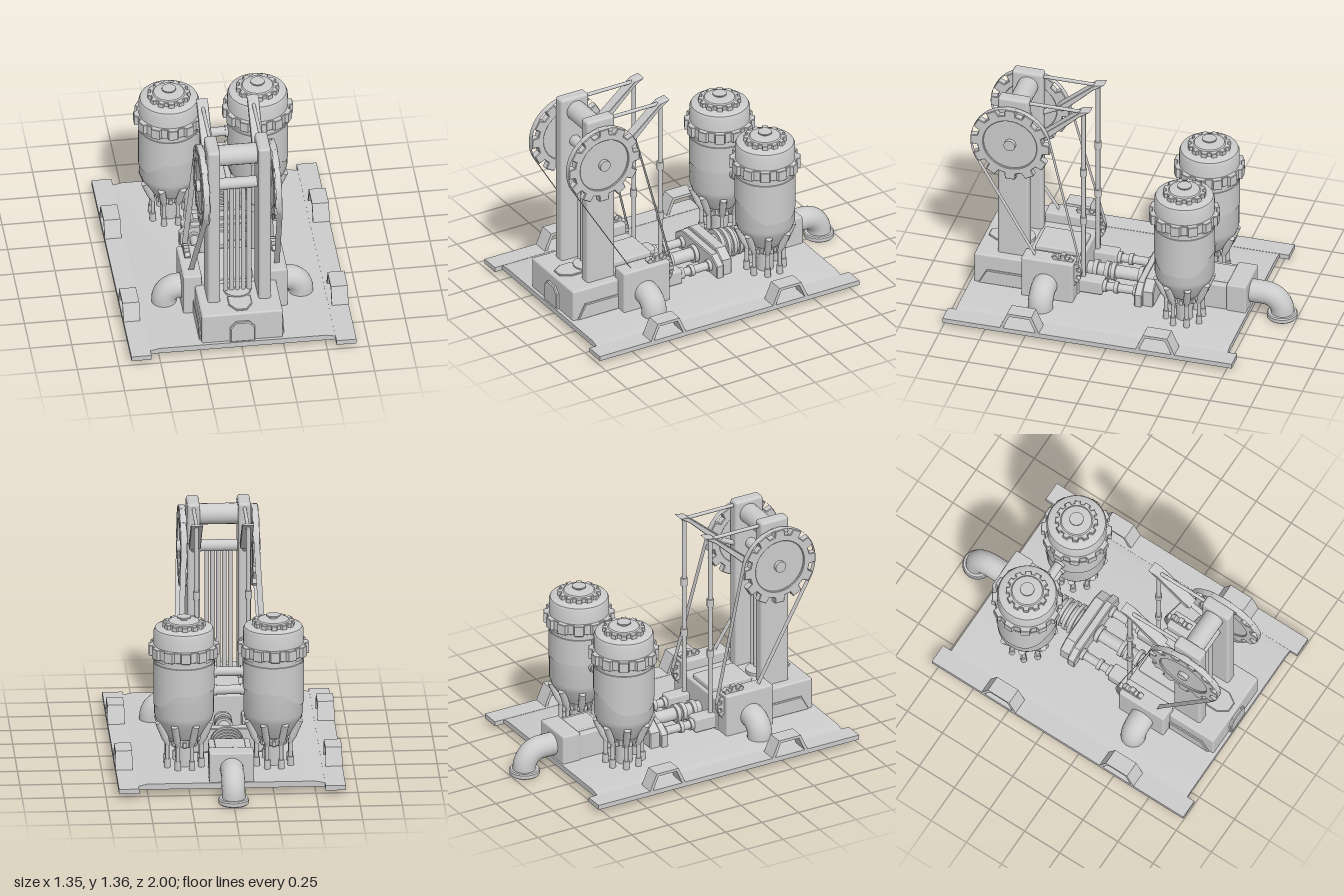
import * as THREE from 'three';
import { toCreasedNormals } from 'three/addons/utils/BufferGeometryUtils.js';
import { RoundedBoxGeometry } from 'three/addons/geometries/RoundedBoxGeometry.js';

const V = (x, y, z) => new THREE.Vector3(x, y, z);

export function createModel() {
  const root = new THREE.Group();
  root.name = 'pumpStation';
  const mat = new THREE.MeshStandardMaterial({ color: 0xcccccc });
  const thin = new THREE.MeshStandardMaterial({ color: 0xcccccc, side: THREE.DoubleSide });

  const add = (name, geo, x = 0, y = 0, z = 0, parent = root, m = mat) => {
    const mesh = new THREE.Mesh(geo, m);
    mesh.name = name;
    mesh.position.set(x, y, z);
    parent.add(mesh);
    return mesh;
  };
  // box given by its limits
  const box = (name, x0, x1, y0, y1, z0, z1, r = 0.012, parent = root) =>
    add(name, new RoundedBoxGeometry(x1 - x0, y1 - y0, z1 - z0, 2, r),
      (x0 + x1) / 2, (y0 + y1) / 2, (z0 + z1) / 2, parent);
  // round bar between two points
  const bar = (name, a, b, r, r2 = r, parent = root, seg = 20) => {
    const mesh = add(name, new THREE.CylinderGeometry(r2, r, a.distanceTo(b), seg), 0, 0, 0, parent);
    mesh.position.copy(a).lerp(b, 0.5);
    mesh.quaternion.setFromUnitVectors(V(0, 1, 0), b.clone().sub(a).normalize());
    return mesh;
  };
  const lathe = (pts, seg = 40) =>
    toCreasedNormals(new THREE.LatheGeometry(pts.map(p => new THREE.Vector2(...p)), seg), 0.6);
  const shapeOf = pts => new THREE.Shape(pts.map(p => new THREE.Vector2(...p)));
  // extrusion centred on its own depth, optionally bevelled
  const extrude = (shape, depth, bevel = 0) => {
    const g = new THREE.ExtrudeGeometry(shape, {
      depth: depth - 2 * bevel, bevelEnabled: bevel > 0, bevelSize: bevel,
      bevelThickness: bevel, bevelOffset: -bevel, bevelSegments: 1, curveSegments: 32 });
    return toCreasedNormals(g.translate(0, 0, bevel - depth / 2), 0.5);
  };
  // profile drawn in (z, y), extruded along x
  const across = (shape, depth, bevel) => extrude(shape, depth, bevel).rotateY(-Math.PI / 2);
  const gearShape = (rRoot, rTip, n, hole = 0) => {
    const pts = [], step = Math.PI * 2 / n;
    for (let i = 0; i < n; i++)
      for (const [f, r] of [[-0.32, rRoot], [-0.24, rTip], [0.24, rTip], [0.32, rRoot], [0.5, rRoot]])
        pts.push([Math.cos((i + f) * step) * r, Math.sin((i + f) * step) * r]);
    const s = shapeOf(pts);
    if (hole) s.holes.push(new THREE.Path().absarc(0, 0, hole, 0, Math.PI * 2, true));
    return s;
  };
  const pipe = (name, pts, r) =>
    add(name, new THREE.TubeGeometry(new THREE.CatmullRomCurve3(pts), 32, r, 24), 0, 0, 0, root, thin);

  // Base plate with side rails
  add('basePlate', extrude(shapeOf([[-0.57, 0.035], [0.57, 0.035], [0.57, 0.055], [0.5, 0.07], [-0.5, 0.07], [-0.57, 0.055]]), 1.68), 0, 0, 0.11);
  for (const s of [-1, 1]) {
    add('rail', extrude(shapeOf([[-0.06, 0.03], [0.06, 0.03], [0.06, 0.06], [-0.06, 0.06]]), 1.79), s * 0.615, 0, 0.105);
    for (const z of [0.525, -0.315])
      add('handle', across(shapeOf([[-0.125, 0.05], [-0.075, 0.165], [0.075, 0.165], [0.125, 0.05],
        [0.105, 0.05], [0.062, 0.147], [-0.062, 0.147], [-0.105, 0.05]]), 0.1), s * 0.625, 0, z);
  }

  // Front plinth and its panels
  box('frontPlinth', -0.243, 0.243, 0.06, 0.265, 0.6, 0.93);
  const panel = shapeOf([[-0.075, 0.07], [0.075, 0.07], [0.075, 0.17], [0.04, 0.21], [-0.04, 0.21], [-0.075, 0.17]]);
  add('frontPanel', extrude(panel, 0.03, 0.006), 0, 0, 0.932);
  add('topPanel', extrude(shapeOf([[-0.07, -0.76], [-0.07, -0.84], [-0.03, -0.9], [0.03, -0.9], [0.07, -0.84], [0.07, -0.76]]), 0.016, 0.004)
    .rotateX(-Math.PI / 2), 0, 0.266, 0);
  box('centreHousing', -0.21, 0.21, 0.06, 0.27, 0.29, 0.62);
  box('centreHousingLid', -0.11, 0.11, 0.26, 0.3, 0.31, 0.59, 0.008);

  // Mast between the columns
  bar('upperCrossTube', V(-0.13, 1.272, 0.7), V(0.13, 1.272, 0.7), 0.063);
  bar('gearAxle', V(-0.25, 1.07, 0.71), V(0.25, 1.07, 0.71), 0.035);
  bar('mastPipeSocket', V(0, 0.26, 0.7), V(0, 0.282, 0.7), 0.078);
  for (let i = -2; i <= 2; i++)
    bar('mastPipe', V(i * 0.035, 0.27, 0.7), V(i * 0.035, 1.06, 0.7), 0.014);

  for (const s of [-1, 1]) {
    box('column', s * 0.152 - 0.038, s * 0.152 + 0.038, 0.25, 1.362, 0.61, 0.8, 0.018);
    box('sideHousing', s * 0.257 - 0.056, s * 0.257 + 0.056, 0.06, 0.335, 0.3, 0.62);
    add('plinthSidePanel', across(shapeOf([[0.62, 0.07], [0.9, 0.07], [0.85, 0.165], [0.62, 0.165]]), 0.02, 0.005), s * 0.245, 0, 0);

    // Big gear with recessed disc, small gear sunk in the housing
    add('driveGear', across(gearShape(0.205, 0.245, 12, 0.165), 0.045, 0.004), s * 0.215, 1.07, 0.71);
    bar('driveGearDisc', V(s * 0.2, 1.07, 0.71), V(s * 0.226, 1.07, 0.71), 0.17, 0.17, root, 40);
    add('smallGear', across(gearShape(0.09, 0.115, 12), 0.036, 0.003), s * 0.262, 0.26, 0.37);

    // Belt: thin ribbon round both gears
    const c1 = [0.71, 1.07], c2 = [0.37, 0.26], R1 = 0.245, R2 = 0.112, N = 32;
    const dz = c2[0] - c1[0], dy = c2[1] - c1[1];
    const a = Math.atan2(dy, dz), b = Math.acos((R1 - R2) / Math.hypot(dz, dy));
    const loop = [];
    for (const [c, R, from, to] of [[c1, R1, a + b, a - b + Math.PI * 2], [c2, R2, a - b, a + b]])
      for (let i = 0; i <= N; i++) {
        const t = from + (to - from) * i / N;
        loop.push([c[0] + R * Math.cos(t), c[1] + R * Math.sin(t)]);
      }
    const pos = [], idx = [];
    loop.forEach(([z, y], i) => {
      const x = 0.217 + Math.max(0, 1.07 - y) * 0.055, j = (i + 1) % loop.length;
      pos.push(s * (x - 0.017), y, z, s * (x + 0.017), y, z);
      idx.push(2 * i, 2 * i + 1, 2 * j + 1, 2 * i, 2 * j + 1, 2 * j);
    });
    const belt = new THREE.BufferGeometry();
    belt.setAttribute('position', new THREE.Float32BufferAttribute(pos, 3));
    belt.setIndex(idx);
    belt.computeVertexNormals();
    add('belt', belt, 0, 0, 0, root, thin);

    // Rocker arm, tie rod and long vertical rod
    add('rockerArm', across(shapeOf([[0.23, 1.355], [0.29, 1.345], [0.525, 1.145], [0.49, 1.122], [0.3, 1.305]]), 0.07, 0.003), s * 0.152, 0, 0);
    bar('armBrace', V(s * 0.152, 1.135, 0.5), V(s * 0.152, 1.07, 0.63), 0.016);
    bar('tieRod', V(s * 0.152, 1.33, 0.62), V(s * 0.152, 1.33, 0.26), 0.011);
    bar('pushRod', V(s * 0.155, 0.16, 0.278), V(s * 0.155, 1.33, 0.278), 0.014);
    for (const y of [0.565, 0.905])
      bar('rodCollar', V(s * 0.155, y - 0.025, 0.278), V(s * 0.155, y + 0.025, 0.278), 0.021);

    // Side piston
    box('pistonBlock', s * 0.158 - 0.045, s * 0.158 + 0.045, 0.08, 0.17, 0.15, 0.31, 0.01);
    bar('pistonRod', V(s * 0.16, 0.125, -0.08), V(s * 0.16, 0.125, 0.16), 0.026);
    for (const z of [-0.05, 0.07, 0.14])
      bar('pistonCollar', V(s * 0.16, 0.125, z - 0.012), V(s * 0.16, 0.125, z + 0.012), 0.036);

    // Elbow outlet at the side
    const bend = [V(s * 0.29, 0.17, 0.47)];
    for (let i = 0; i <= 6; i++) {
      const t = i / 6 * Math.PI / 2;
      bend.push(V(s * (0.325 + 0.085 * Math.sin(t)), 0.085 + 0.085 * Math.cos(t), 0.47));
    }
    bend.push(V(s * 0.41, 0.06, 0.47));
    pipe('sideElbow', bend, 0.075);

    // Tank
    const tank = new THREE.Group();
    tank.name = 'tank';
    tank.position.set(s * 0.266, 0, -0.38);
    root.add(tank);
    add('tankBody', lathe([[0, 0.2], [0.07, 0.2], [0.07, 0.24], [0.095, 0.25], [0.165, 0.36], [0.178, 0.4], [0.178, 0.72], [0.174, 0.722],
      [0.174, 0.74], [0.18, 0.742], [0.18, 0.915], [0.172, 0.933], [0.155, 0.942], [0, 0.942]]), 0, 0, 0, tank);
    // outer shell with a lower edge that dips on the outside
    const shell = new THREE.CylinderGeometry(0.182, 0.182, 1, 48, 1, true), p = shell.attributes.position;
    for (let i = 0; i < p.count; i++) {
      const out = THREE.MathUtils.clamp((s * p.getX(i) / 0.182 - 0.25) / 0.6, 0, 1);
      p.setY(i, p.getY(i) > 0 ? 0.72 : 0.555 - 0.095 * out);
    }
    add('tankShell', shell, 0, 0, 0, tank, thin);
    const flat = (shape, d) => extrude(shape, d, 0.003).rotateX(-Math.PI / 2);
    add('tankRing', flat(gearShape(0.192, 0.212, 12), 0.066), 0, 0.798, 0, tank);
    add('capRing', flat(gearShape(0.11, 0.128, 12), 0.03), 0, 0.953, 0, tank);
    add('capDome', lathe([[0.1, 0.965], [0.09, 0.975], [0.05, 0.98], [0.022, 0.98], [0.022, 0.994], [0.042, 0.994], [0.042, 1.002], [0, 1.002]]), 0, 0, 0, tank);
    add('neckRing', flat(gearShape(0.07, 0.085, 12), 0.035), 0, 0.215, 0, tank);
    bar('tankStem', V(0, 0.06, 0), V(0, 0.21, 0), 0.05, 0.055, tank);
    for (let i = 0; i < 8; i++) {
      const t = (i + 0.5) * Math.PI / 4, c = Math.cos(t), n = Math.sin(t);
      const at = (r, y) => V(c * r, y, n * r);
      bar('strutSleeve', at(0.122, 0.25), at(0.168, 0.36), 0.021, 0.021, tank, 12);
      bar('strutTip', at(0.105, 0.21), at(0.122, 0.25), 0.014, 0.018, tank, 12);
      bar('standPipe', at(0.11, 0.06), at(0.11, 0.22), 0.012, 0.012, tank, 12);
      bar('standPipeFoot', at(0.11, 0.06), at(0.11, 0.125), 0.019, 0.019, tank, 12);
    }
  }

  // Pipes linking the tanks
  for (const y of [0.535, 0.65]) {
    bar('tankLink', V(-0.12, y, -0.38), V(0.12, y, -0.38), 0.028);
    for (const s of [-1, 1]) bar('tankLinkCollar', V(s * 0.07, y, -0.38), V(s * 0.11, y, -0.38), 0.035);
  }

  // Central shaft and ribbed coupling
  bar('centreShaft', V(0, 0.13, -0.08), V(0, 0.13, 0.3), 0.04);
  for (const z of [-0.04, 0.13, 0.17, 0.24])
    bar('shaftCollar', V(0, 0.13, z - 0.013), V(0, 0.13, z + 0.013), 0.055);
  const coupling = (w, h) => shapeOf([[-w, 0.07], [w, 0.07], [w, h - 0.05], [w - 0.07, h], [0.07 - w, h], [-w, h - 0.05]]);
  add('couplingFlange', extrude(coupling(0.245, 0.2), 0.05, 0.006), 0, 0, -0.085);
  add('couplingBody', extrude(coupling(0.225, 0.22), 0.07, 0.006), 0, 0, -0.14);
  bar('ribbedCore', V(0, 0.14, -0.15), V(0, 0.14, -0.45), 0.075);
  for (let i = 0; i < 5; i++)
    bar('rib', V(0, 0.14, -0.19 - i * 0.042), V(0, 0.14, -0.212 - i * 0.042), 0.1 - i * 0.004, 0.1 - i * 0.004, root, 28);

  // Rear pump box with elbow outlet
  box('rearBox', -0.125, 0.125, 0.06, 0.235, -0.72, -0.4);
  box('rearBoxCollar', -0.133, 0.133, 0.06, 0.25, -0.72, -0.6, 0.01);
  box('rearBoxLid', -0.09, 0.09, 0.225, 0.246, -0.6, -0.43, 0.006);
  const bend = [V(0, 0.15, -0.7), V(0, 0.15, -0.76)];
  for (let i = 0; i <= 6; i++) {
    const t = i / 6 * Math.PI / 2;
    bend.push(V(0, 0.04 + 0.11 * Math.cos(t), -0.8 - 0.11 * Math.sin(t)));
  }
  bend.push(V(0, 0.01, -0.91));
  pipe('rearElbow', bend, 0.07);
  add('rearElbowFlange', lathe([[0, 0], [0.085, 0], [0.091, 0.006], [0.091, 0.028], [0.085, 0.036], [0, 0.036]]), 0, 0, -0.908);

  return root;
}
